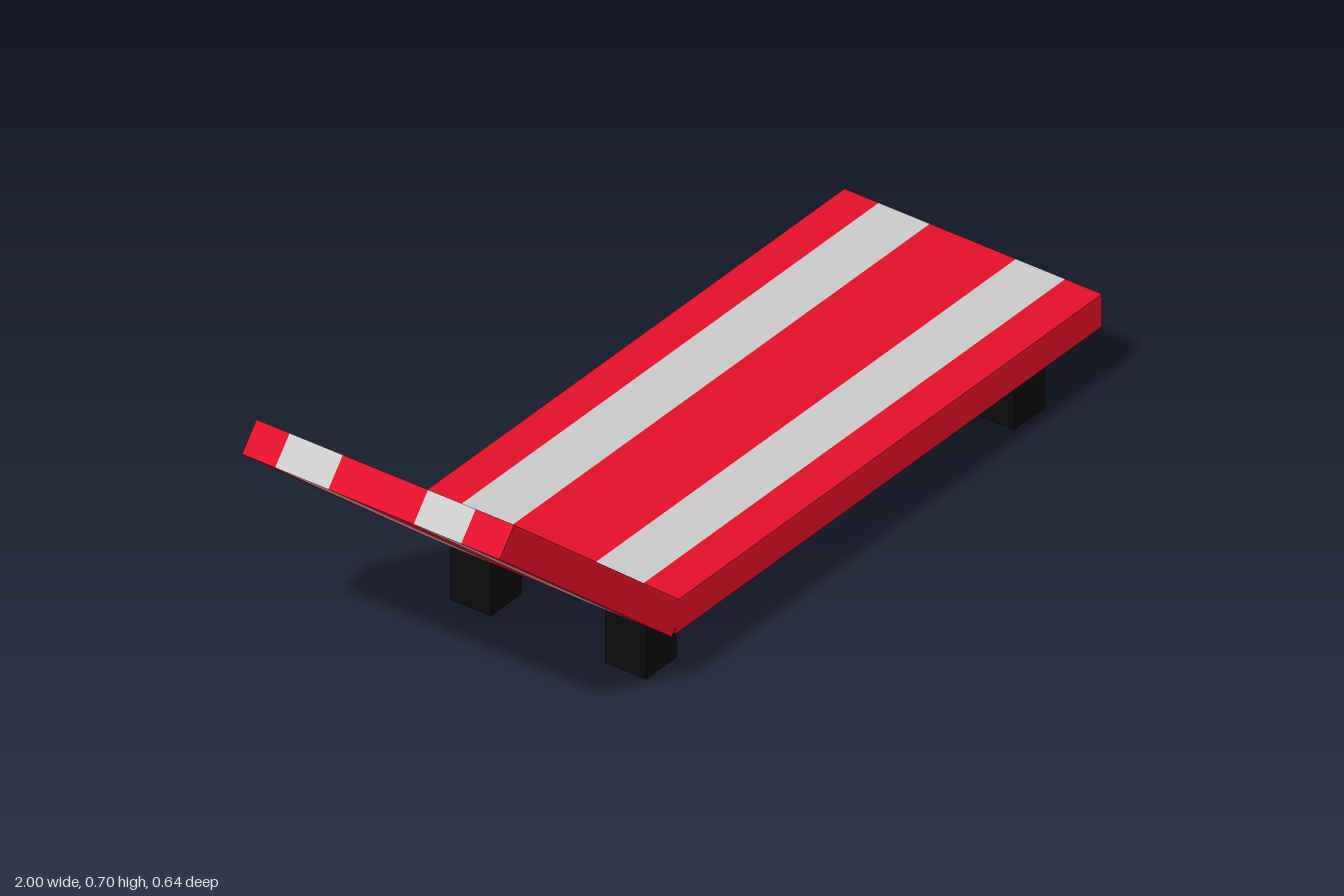
import * as THREE from 'three';

const red = new THREE.MeshStandardMaterial({ color: 0xe41029 });
const grey = new THREE.MeshStandardMaterial({ color: 0xcccccc });
const black = new THREE.MeshStandardMaterial({ color: 0x0c0c0c });

function addBox(parent, name, material, size, position) {
  const mesh = new THREE.Mesh(new THREE.BoxGeometry(...size), material);
  mesh.name = name;
  mesh.position.set(...position);
  parent.add(mesh);
  return mesh;
}

// Cushion of lengthwise stripes, red and grey in turn, split at the given z values
function stripedCushion(name, length, thickness, cuts) {
  const cushion = new THREE.Group();
  cushion.name = name;
  const last = cuts.length - 2;
  for (let i = 0; i <= last; i++) {
    const isGrey = i % 2 === 1;
    const mesh = addBox(cushion, isGrey ? 'greyStripe' : 'redStripe', isGrey ? grey : red,
      [length, thickness, cuts[i + 1] - cuts[i]], [0, 0, (cuts[i] + cuts[i + 1]) / 2]);
    // Keep only the outer side faces: +z on the last stripe, -z on the first
    const faces = [...mesh.geometry.index.array];
    const kept = faces.slice(0, 24);
    if (i === last) kept.push(...faces.slice(24, 30));
    if (i === 0) kept.push(...faces.slice(30, 36));
    mesh.geometry.clearGroups();
    mesh.geometry.setIndex(kept);
  }
  return cushion;
}

export function createModel() {
  const lounger = new THREE.Group();
  lounger.name = 'sunLounger';

  // Flat seat
  const seat = stripedCushion('seat', 1.415, 0.077, [-0.322, -0.236, -0.108, 0.107, 0.23, 0.322]);
  seat.position.set(0.2925, 0.1975, 0);
  lounger.add(seat);

  // Reclined backrest, tilted up towards -x
  const tilt = THREE.MathUtils.degToRad(40);
  const length = 0.746, thickness = 0.075;
  const back = stripedCushion('backrest', length, thickness, [-0.322, -0.239, -0.106, 0.107, 0.226, 0.322]);
  back.rotation.z = -tilt;
  back.position.set(
    -1 + (length * Math.cos(tilt) + thickness * Math.sin(tilt)) / 2,
    0.638 + (thickness * Math.cos(tilt) - length * Math.sin(tilt)) / 2, 0);
  lounger.add(back);

  // Four block legs; the one at the front of the hinge sits slightly further in
  const legs = [
    ['footLegFront', 0.837, 0.212], ['footLegBack', 0.837, -0.211],
    ['hingeLegFront', -0.337, 0.176], ['hingeLegBack', -0.337, -0.211],
  ];
  for (const [name, x, z] of legs) {
    addBox(lounger, name, black, [0.102, 0.16, 0.102], [x, 0.08, z]);
  }
  return lounger;
}
